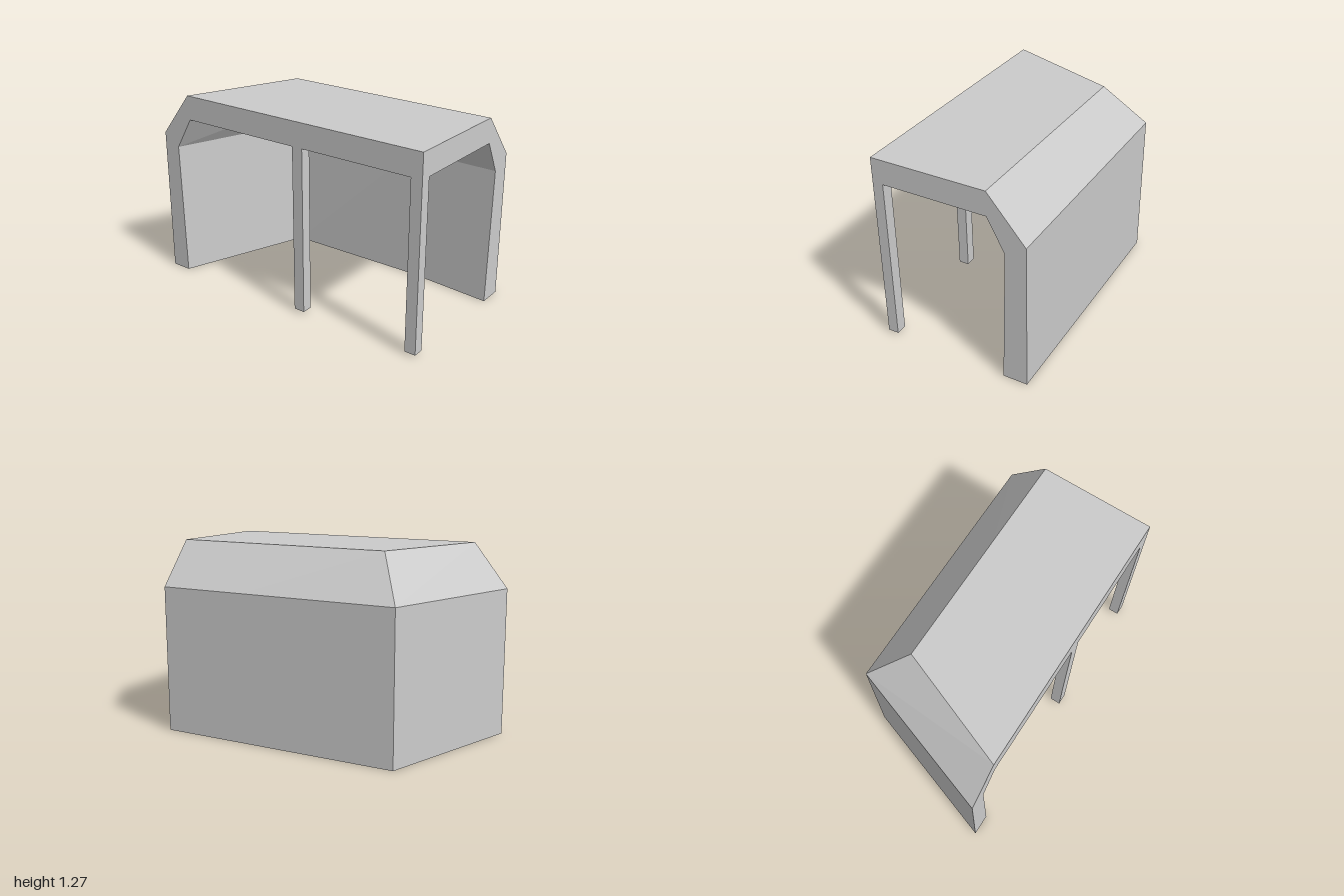
import * as THREE from 'three';

const material = new THREE.MeshStandardMaterial({ color: 0xcccccc, flatShading: true });

// Skin closed cross-sections of 8 points: 4 outer (wall foot to roof edge), 4 inner (back down)
function loft(rings) {
  const pos = [];
  const quad = (a, b, c, d) => {
    for (const t of [[a, b, c], [a, c, d]]) {
      const v = t.map(p => new THREE.Vector3(...p));
      if (new THREE.Triangle(...v).getArea() > 1e-6) pos.push(...t.flat());
    }
  };
  for (let r = 0; r < rings.length - 1; r++) {
    const p = rings[r], q = rings[r + 1];
    for (let i = 0; i < 8; i++) {
      const j = (i + 1) % 8;
      quad(p[i], q[i], q[j], p[j]);
    }
  }
  // end caps, split into wall, chamfer and roof strips
  const first = rings[0], last = rings[rings.length - 1];
  for (let i = 0; i < 3; i++) {
    quad(first[i], first[i + 1], first[6 - i], first[7 - i]);
    quad(last[7 - i], last[6 - i], last[i + 1], last[i]);
  }
  const geo = new THREE.BufferGeometry();
  geo.setAttribute('position', new THREE.Float32BufferAttribute(pos, 3));
  geo.computeVertexNormals();
  return geo;
}

export function createModel() {
  const group = new THREE.Group();

  // Heights along the section: foot, shoulder, roof, roof, ceiling, ceiling, shoulder, foot
  const heights = [0, 0.98, 1.27, 1.27, 1.11, 1.11, 0.9, 0];
  const ring = xz => xz.map(([x, z], i) => [x, heights[i], z]);
  const straight = (z, xs) => ring(xs.map(x => [x, z]));

  // Side wall and roof, mitred at the corner into the slanted back wall
  const shell = new THREE.Mesh(loft([
    straight(1, [0.5, 0.5, 0.255, -0.5, -0.5, 0.255, 0.365, 0.34]),
    straight(0.4, [0.5, 0.5, 0.257, -0.5, -0.5, 0.257, 0.375, 0.386]),
    ring([[0.5, -0.665], [0.5, -0.665], [0.26, -0.48], [-0.5, -0.77],
      [-0.5, -0.757], [0.26, -0.47], [0.37, -0.585], [0.372, -0.56]]),
    ring([[-0.5, -1], [-0.5, -1], [-0.5, -0.77], [-0.5, -0.77],
      [-0.5, -0.757], [-0.5, -0.757], [-0.5, -0.883], [-0.5, -0.864]]),
  ]), material);
  shell.name = 'roofAndWalls';
  group.add(shell);

  // Two posts under the open edge of the roof
  for (const [name, z] of [['frontPost', 0.963], ['middlePost', 0.133]]) {
    const post = new THREE.Mesh(new THREE.BoxGeometry(0.07, 1.1, 0.074), material);
    post.position.set(-0.465, 0.565, z);
    post.name = name;
    group.add(post);
  }
  return group;
}
